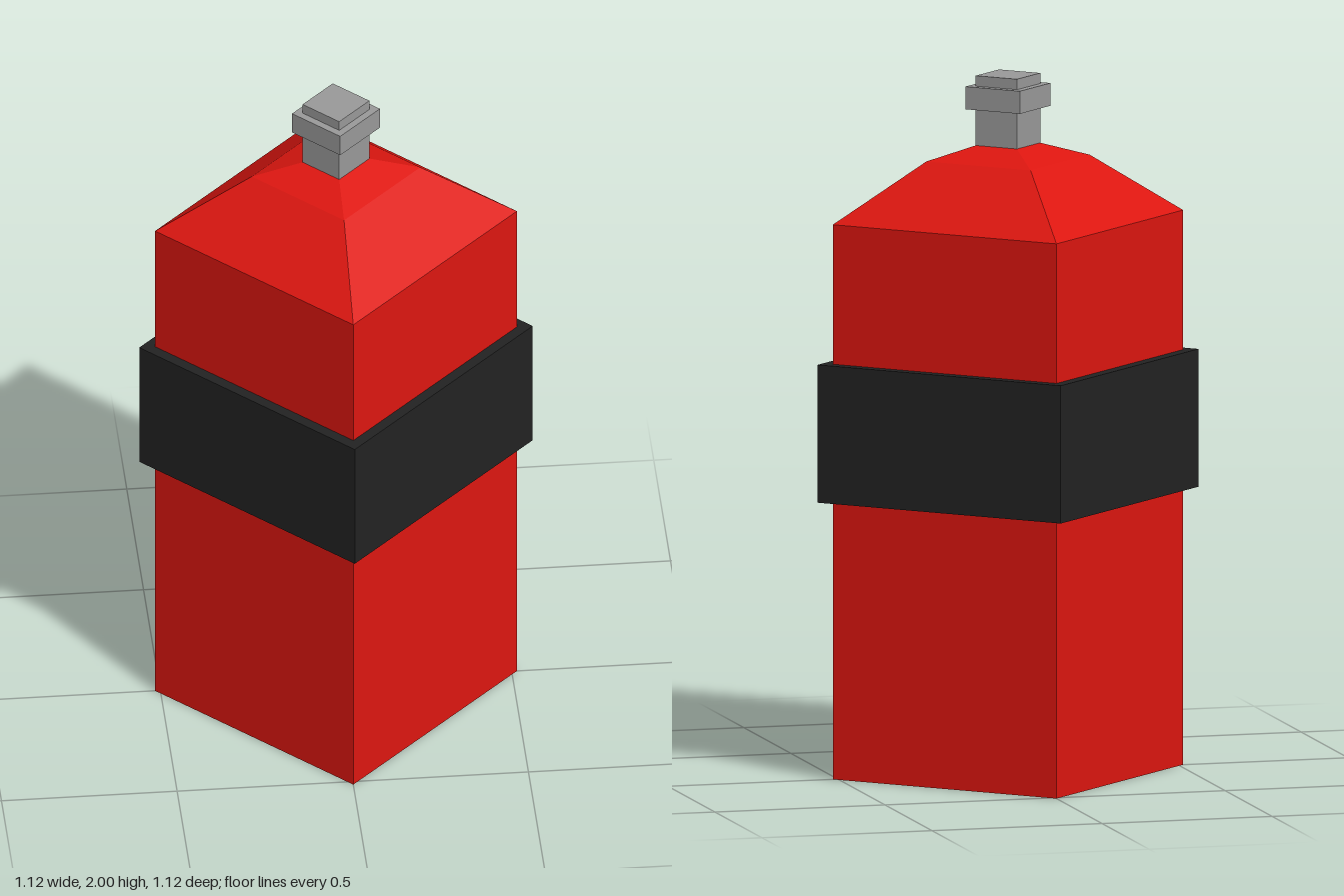
import * as THREE from 'three';

const SIDES = 4; // square sections with corners on the x and z axes

const paint = (color) => new THREE.MeshStandardMaterial({ color, flatShading: true });

// Turns a [radius, height] profile, listed from bottom to top, into a faceted solid.
function turned(name, profile, material) {
  const points = profile.map(([r, y]) => new THREE.Vector2(r, y));
  const mesh = new THREE.Mesh(new THREE.LatheGeometry(points, SIDES), material);
  mesh.name = name;
  return mesh;
}

export function createModel() {
  const model = new THREE.Group();
  model.name = 'canister';

  const red = paint(0xdd1610);
  const black = paint(0x222222);
  const grey = paint(0x999999);

  // Tank with a two-step sloped shoulder
  model.add(turned('tank', [
    [0, 0], [0.515, 0], [0.515, 1.59], [0.24, 1.76], [0.095, 1.8], [0, 1.8],
  ], red));

  // Wide band around the middle
  model.add(turned('band', [
    [0.515, 0.795], [0.56, 0.795], [0.56, 1.19], [0.515, 1.19],
  ], black));

  // Neck with a protruding collar near its top
  model.add(turned('nozzle', [
    [0.095, 1.8], [0.095, 1.905], [0.125, 1.905], [0.125, 1.97],
    [0.095, 1.97], [0.095, 2], [0, 2],
  ], grey));

  return model;
}
